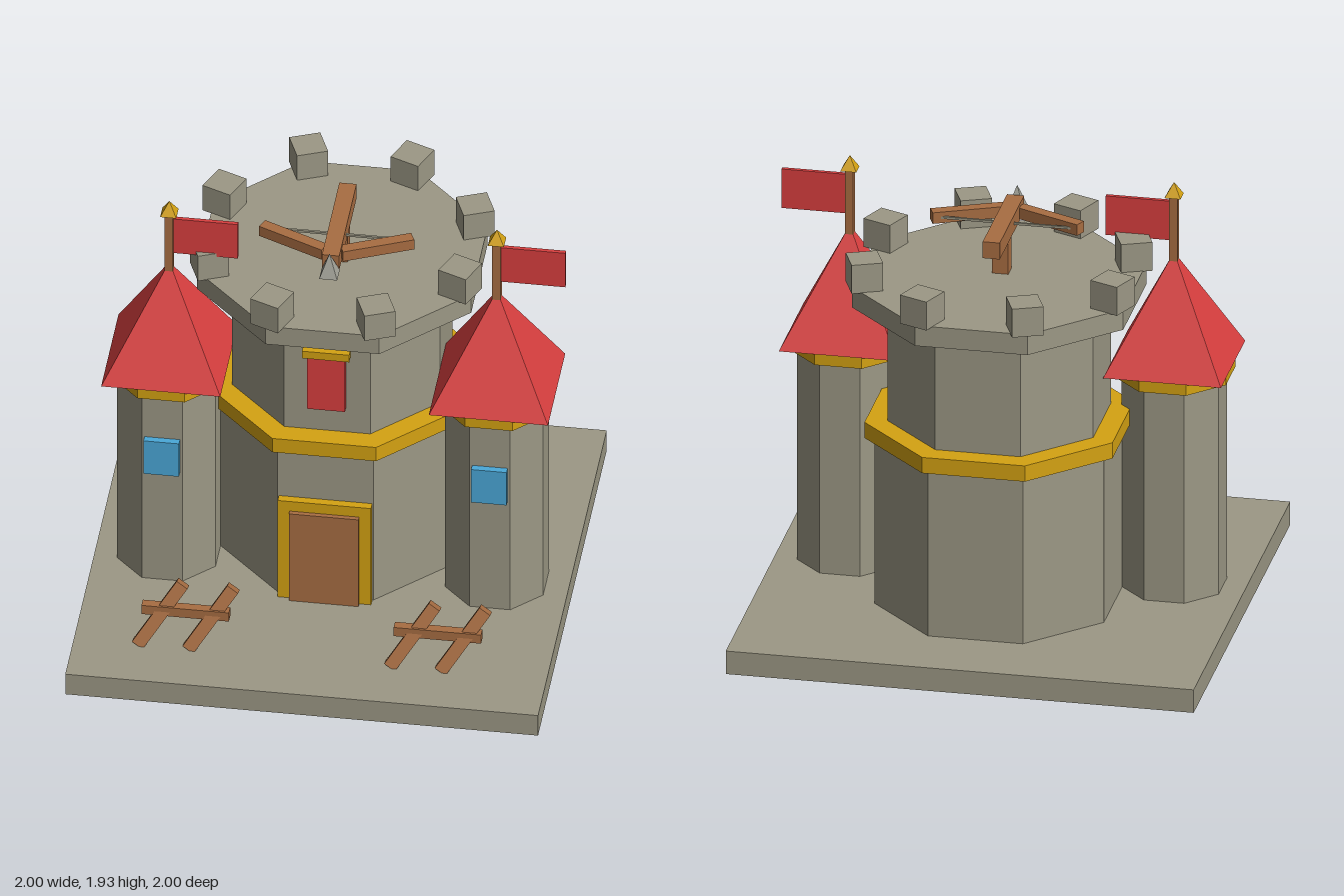
import * as THREE from 'three';

const mat = (name, color) => {
  const m = new THREE.MeshStandardMaterial({ color, side: THREE.DoubleSide, flatShading: true });
  m.name = name;
  return m;
};

export function createModel() {
  const stone = mat('stone', 0x9c9885);
  const red = mat('red', 0xd93f3f);
  const gold = mat('gold', 0xd4a212);
  const wood = mat('wood', 0xa86d42);
  const blue = mat('blue', 0x4aa8d8);
  const steel = mat('steel', 0xa2a298);

  const model = new THREE.Group();
  model.name = 'castle';

  const add = (parent, name, geo, material, x, y, z) => {
    const mesh = new THREE.Mesh(geo, material);
    mesh.name = name;
    mesh.position.set(x, y, z);
    parent.add(mesh);
    return mesh;
  };
  const group = (name, x, y, z, parent = model) => {
    const g = new THREE.Group();
    g.name = name;
    g.position.set(x, y, z);
    parent.add(g);
    return g;
  };
  const box = (parent, name, w, h, d, material, x, y, z) =>
    add(parent, name, new THREE.BoxGeometry(w, h, d), material, x, y, z);
  // upright octagonal drum, flat side to the front, from y0 to y1
  const octagon = (parent, name, apothem, y0, y1, material) => {
    const r = apothem / Math.cos(Math.PI / 8);
    const geo = new THREE.CylinderGeometry(r, r, y1 - y0, 8, 1, false, Math.PI / 8);
    return add(parent, name, geo, material, 0, (y0 + y1) / 2, 0);
  };
  // square pyramid with sides along the axes
  const pyramid = (parent, name, half, y0, y1, material, z = 0) =>
    add(parent, name, new THREE.ConeGeometry(half * Math.SQRT2, y1 - y0, 4, 1, false, Math.PI / 4),
      material, 0, (y0 + y1) / 2, z);

  // Ground slab, open underneath
  const slab = new THREE.BoxGeometry(2, 0.105, 2);
  slab.setIndex([...slab.index.array].filter((_, i) => i < 18 || i >= 24));
  slab.clearGroups();
  add(model, 'base', slab, stone, 0, 0.0525, 0);

  // Central keep
  const keep = group('keep', 0, 0, -0.185);
  octagon(keep, 'lowerKeep', 0.49, 0.105, 0.865, stone);
  octagon(keep, 'keepBand', 0.53, 0.865, 0.937, gold);
  octagon(keep, 'upperKeep', 0.44, 0.937, 1.47, stone);
  octagon(keep, 'parapet', 0.58, 1.467, 1.56, stone);
  for (let i = 0; i < 8; i++) {
    const a = (i + 0.5) * Math.PI / 4;
    const merlon = box(keep, 'merlon', 0.134, 0.13, 0.134, stone,
      0.574 * Math.sin(a), 1.623, 0.574 * Math.cos(a));
    merlon.rotation.y = a;
  }

  // Door and banner on the keep front
  box(model, 'doorFrame', 0.395, 0.505, 0.06, gold, 0, 0.3575, 0.31);
  box(model, 'door', 0.295, 0.455, 0.06, wood, 0, 0.3325, 0.33);
  box(model, 'banner', 0.16, 0.28, 0.026, red, 0, 1.207, 0.277);
  box(model, 'bannerRail', 0.2, 0.037, 0.04, gold, 0, 1.358, 0.283);

  // Side towers; both flags fly the same way
  for (const s of [-1, 1]) {
    const tower = group(s < 0 ? 'rightTower' : 'leftTower', s * 0.693, 0, 0.082);
    octagon(tower, 'towerBody', 0.208, 0.105, 1.07, stone);
    octagon(tower, 'towerCollar', 0.242, 1.07, 1.123, gold);
    pyramid(tower, 'towerRoof', 0.252, 1.123, 1.615, red);
    box(tower, 'flagPole', 0.036, 0.37, 0.036, wood, 0, 1.69, 0);
    pyramid(tower, 'finial', 0.034, 1.872, 1.934, gold);
    box(tower, 'flag', 0.275, 0.178, 0.018, red, 0.153, 1.76, 0);
    box(tower, 'window', 0.15, 0.172, 0.03, blue, 0, 0.76, 0.223);
  }

  // Bolt thrower on the keep roof
  const thrower = group('boltThrower', 0, 0, 0);
  box(thrower, 'post', 0.07, 0.16, 0.07, wood, 0, 1.636, -0.13);
  box(thrower, 'beam', 0.073, 0.075, 0.505, wood, 0, 1.744, -0.095);
  pyramid(thrower, 'boltTip', 0.038, 1.706, 1.814, steel, 0.19);
  for (const s of [-1, 1]) {
    const arm = box(thrower, 'bowArm', 0.31, 0.05, 0.05, wood, s * 0.177, 1.742, 0.022);
    arm.rotation.y = s * 0.42;
  }
  box(thrower, 'bowString', 0.6, 0.01, 0.01, stone, 0, 1.742, -0.045);

  // Slanted wooden barricades in front
  for (const x of [-0.535, 0.532]) {
    const barricade = group('barricade', x, 0, 0.69);
    box(barricade, 'crossbar', 0.37, 0.045, 0.04, wood, 0, 0.257, 0);
    for (const s of [-1, 1]) {
      const stake = box(barricade, 'stake', 0.055, 0.33, 0.055, wood, s * 0.107, 0.23, 0);
      stake.rotation.set(-0.36, 0, -0.56);
    }
  }
  return model;
}
